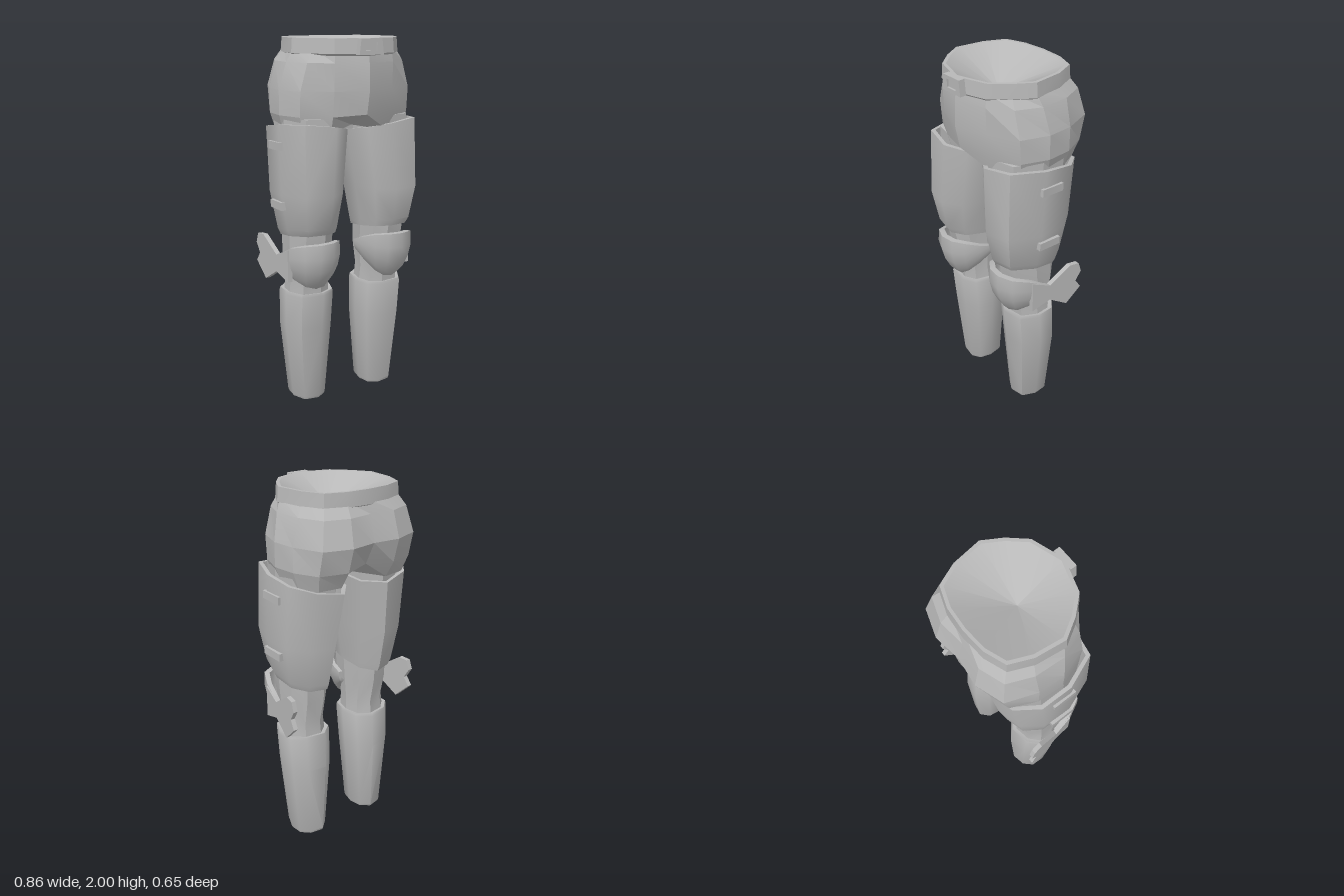
import * as THREE from 'three';
import { toCreasedNormals } from 'three/addons/utils/BufferGeometryUtils.js';

const grey = new THREE.MeshStandardMaterial({ color: 0xb8b8b8 });
grey.name = 'plain grey';

// Mirrors to the chosen side, turns faces outward, and sets creased normals.
function part(name, geometry, side = 1, crease = 0.9) {
  const geo = geometry.index ? geometry.toNonIndexed() : geometry;
  geo.deleteAttribute('normal');
  geo.deleteAttribute('uv');
  geo.clearGroups();
  geo.scale(side, 1, 1);
  const p = geo.attributes.position;
  const a = new THREE.Vector3(), b = new THREE.Vector3(), c = new THREE.Vector3();
  const mid = new THREE.Vector3();
  for (let i = 0; i < p.count; i++) mid.add(a.fromBufferAttribute(p, i));
  mid.divideScalar(p.count);
  let volume = 0;
  for (let i = 0; i < p.count; i += 3) {
    a.fromBufferAttribute(p, i).sub(mid);
    b.fromBufferAttribute(p, i + 1).sub(mid);
    c.fromBufferAttribute(p, i + 2).sub(mid);
    volume += a.dot(b.cross(c));
  }
  if (volume < 0) {
    for (let i = 0; i < p.count; i += 3) {
      b.fromBufferAttribute(p, i + 1);
      c.fromBufferAttribute(p, i + 2);
      p.setXYZ(i + 1, c.x, c.y, c.z);
      p.setXYZ(i + 2, b.x, b.y, b.z);
    }
  }
  geo.computeVertexNormals();
  const mesh = new THREE.Mesh(crease ? toCreasedNormals(geo, crease) : geo, grey);
  mesh.name = name;
  return mesh;
}

const centroid = (ring) => [0, 1, 2].map((k) => ring.reduce((s, q) => s + q[k], 0) / ring.length);

// Skins closed rings of [x, y, z]; start and end are optional cap centres.
function loft(rings, { start, end, wrap = false } = {}) {
  const pos = [];
  const n = rings[0].length;
  const count = wrap ? rings.length : rings.length - 1;
  for (let r = 0; r < count; r++) {
    const lo = rings[r], hi = rings[(r + 1) % rings.length];
    for (let i = 0; i < n; i++) {
      const j = (i + 1) % n;
      pos.push(...lo[i], ...lo[j], ...hi[j], ...lo[i], ...hi[j], ...hi[i]);
    }
  }
  const last = rings[rings.length - 1];
  for (let i = 0; i < n; i++) {
    const j = (i + 1) % n;
    if (start) pos.push(...rings[0][j], ...rings[0][i], ...start);
    if (end) pos.push(...last[i], ...last[j], ...end);
  }
  const geo = new THREE.BufferGeometry();
  geo.setAttribute('position', new THREE.Float32BufferAttribute(pos, 3));
  return geo;
}

// Symmetric hip ring from half of its outline, front centre to back centre.
function hipRing(y, half, middleY = y) {
  const pts = half.map(([x, z]) => [x, x === 0 ? middleY : y, z]);
  const mirrored = pts.slice(1, -1).reverse().map(([x, py, z]) => [-x, py, z]);
  return [...pts, ...mirrored];
}

// Nine-sided leg outline, shared by the armour and the leg beneath.
const outline = [[-0.25, 1], [0.6, 0.87], [0.97, 0.2], [0.93, -0.45], [0.45, -0.87],
  [-0.35, -1], [-0.88, -0.6], [-1, 0.1], [-0.8, 0.72]];
function legRing(y, x0, x1, z0, z1, tiltX = 0, tiltZ = 0, inset = 0) {
  const cx = (x0 + x1) / 2, cz = (z0 + z1) / 2;
  const w = (x1 - x0) / 2 - inset, d = (z1 - z0) / 2 - inset;
  return outline.map(([u, v]) => [cx + u * w, y + u * tiltX + v * tiltZ, cz + v * d]);
}

// Armour tube with thickness and open ends.
function tubeArmour(specs, thickness) {
  const outer = specs.map((s) => legRing(...s));
  const inner = specs.map((s) => legRing(...s, thickness)).reverse();
  return loft([...outer, ...inner], { wrap: true });
}

function buildHips() {
  const hips = new THREE.Group();
  hips.name = 'hips';

  const waist = [[0, 0.305], [0.17, 0.25], [0.25, 0.16], [0.31, 0.06], [0.29, -0.1],
    [0.24, -0.215], [0.13, -0.255], [0, -0.265]];
  const scaled = (k) => waist.map(([x, z]) => [x * k, z * k]);
  const rings = [
    hipRing(1.95, scaled(0.97)),
    hipRing(1.88, [[0, 0.305], [0.17, 0.255], [0.28, 0.17], [0.335, 0.04], [0.325, -0.12],
      [0.27, -0.25], [0.14, -0.295], [0, -0.28]]),
    hipRing(1.74, [[0, 0.31], [0.17, 0.25], [0.32, 0.17], [0.37, 0.02], [0.36, -0.12],
      [0.3, -0.28], [0.15, -0.33], [0, -0.31]]),
    hipRing(1.61, [[0, 0.285], [0.17, 0.235], [0.32, 0.16], [0.37, 0.02], [0.36, -0.12],
      [0.3, -0.25], [0.15, -0.295], [0, -0.25]], 1.62),
    hipRing(1.52, [[0, 0.12], [0.17, 0.21], [0.3, 0.14], [0.34, 0], [0.33, -0.12],
      [0.28, -0.22], [0.15, -0.24], [0, -0.12]], 1.55),
  ];
  hips.add(part('shorts', loft(rings, { end: [0, 1.55, 0] }), 1, 0.25));

  // Belt with the shallow hollow inside the waist
  const belt = [hipRing(1.925, scaled(1.02)), hipRing(2, scaled(1)), hipRing(2, scaled(0.94))];
  hips.add(part('beltAndWaistHollow', loft(belt, { start: [0, 1.6, 0], end: [0, 1.86, 0.035] }), 1, 0.35));

  // Buckle frame and its raised centre
  const frame = new THREE.Shape([[-0.07, 1.92], [0.07, 1.92], [0.06, 2], [-0.06, 2]]
    .map((q) => new THREE.Vector2(...q)));
  frame.holes.push(new THREE.Path([[-0.033, 1.94], [-0.033, 1.982], [0.033, 1.982], [0.033, 1.94]]
    .map((q) => new THREE.Vector2(...q))));
  const frameGeo = new THREE.ExtrudeGeometry(frame, { depth: 0.035, bevelEnabled: false });
  hips.add(part('buckleFrame', frameGeo.translate(0, 0, 0.29), 1, 0));
  hips.add(part('buckleCentre', new THREE.BoxGeometry(0.066, 0.042, 0.03).translate(0, 1.961, 0.3), 1, 0));
  return hips;
}

// Curved knee cover: columns of [x, z, top, bottom] from inner to outer edge.
function kneeCover() {
  const columns = [[0.065, 0.04, 0.89, 0.83], [0.068, 0.12, 0.92, 0.78], [0.11, 0.2, 0.945, 0.72],
    [0.17, 0.245, 0.95, 0.69], [0.25, 0.255, 0.95, 0.685], [0.33, 0.22, 0.945, 0.7],
    [0.375, 0.13, 0.92, 0.73], [0.39, 0.02, 0.86, 0.77]];
  const steps = [[0, 0.02], [0.3, 0], [0.6, 0.08], [0.85, 0.22], [1, 0.36]];
  const cx = 0.225, cz = 0.02;
  const rings = columns.map(([x, z, top, bottom]) => {
    const span = (top - bottom) / 0.26;
    const at = (extra) => steps.map(([t, pull]) => {
      const k = 1 - pull * span - extra;
      return [cx + (x - cx) * k, top + (bottom - top) * t, cz + (z - cz) * k];
    });
    return [...at(0), ...at(0.14).reverse()];
  });
  return loft(rings, { start: centroid(rings[0]), end: centroid(rings[rings.length - 1]) });
}

// Flared plate on the outer side of the knee, drawn as [z, y].
function kneeWing() {
  const points = [[0.12, 0.91], [0.01, 0.86], [-0.115, 0.945], [-0.17, 0.94], [-0.188, 0.885],
    [-0.155, 0.83], [-0.188, 0.78], [-0.1, 0.695], [0.01, 0.765], [0.12, 0.73]];
  const shape = new THREE.Shape(points.map(([z, y]) => new THREE.Vector2(-z, y)));
  const geo = new THREE.ExtrudeGeometry(shape, { depth: 0.026, bevelEnabled: false });
  geo.rotateY(Math.PI / 2);
  const p = geo.attributes.position;
  for (let i = 0; i < p.count; i++) p.setX(i, p.getX(i) + 0.375 - 0.15 * p.getZ(i));
  return geo;
}

function buildLeg(side) {
  const leg = new THREE.Group();
  leg.name = side > 0 ? 'leftLeg' : 'rightLeg';

  // Leg beneath the armour
  const limb = [legRing(1.6, 0.06, 0.36, -0.22, 0.22), legRing(1.0, 0.105, 0.345, -0.14, 0.2),
    legRing(0.86, 0.105, 0.345, -0.13, 0.17), legRing(0.72, 0.115, 0.335, -0.1, 0.14),
    legRing(0.6, 0.105, 0.345, -0.11, 0.135)];
  leg.add(part('innerLeg', loft(limb, { start: centroid(limb[0]), end: centroid(limb[4]) }), side, 0.3));

  leg.add(part('thighArmour', tubeArmour([
    [1.535, 0.025, 0.4, -0.26, 0.268, 0.025, 0.035],
    [1.2, 0.065, 0.4, -0.22, 0.28, 0, 0.01],
    [1.0, 0.095, 0.365, -0.175, 0.245, 0, 0.03],
    [0.965, 0.1, 0.35, -0.16, 0.225, 0, 0.03],
  ], 0.022), side));

  // Loops on the outer thigh
  for (const [y, x, z] of [[1.455, 0.392, 0.02], [1.14, 0.39, 0.028]]) {
    const loop = new THREE.BoxGeometry(0.026, 0.042, 0.135).rotateX(-0.04).translate(x, y, z);
    leg.add(part('thighLoop', loop, side, 0));
  }

  leg.add(part('kneeCover', kneeCover(), side));
  leg.add(part('kneeWing', kneeWing(), side, 0));

  // Shin armour with a closed ankle
  const shin = [legRing(0.645, 0.105, 0.345, -0.11, 0.14), legRing(0.65, 0.088, 0.362, -0.128, 0.157),
    legRing(0.635, 0.084, 0.366, -0.132, 0.16), legRing(0.44, 0.09, 0.362, -0.143, 0.142),
    legRing(0.015, 0.124, 0.318, -0.122, 0.107), legRing(0, 0.13, 0.312, -0.116, 0.101)];
  leg.add(part('shinArmour', loft(shin, { start: centroid(shin[0]), end: centroid(shin[5]) }), side));
  return leg;
}

export function createModel() {
  const model = new THREE.Group();
  model.name = 'armouredLegs';
  model.add(buildHips(), buildLeg(1), buildLeg(-1));
  return model;
}
